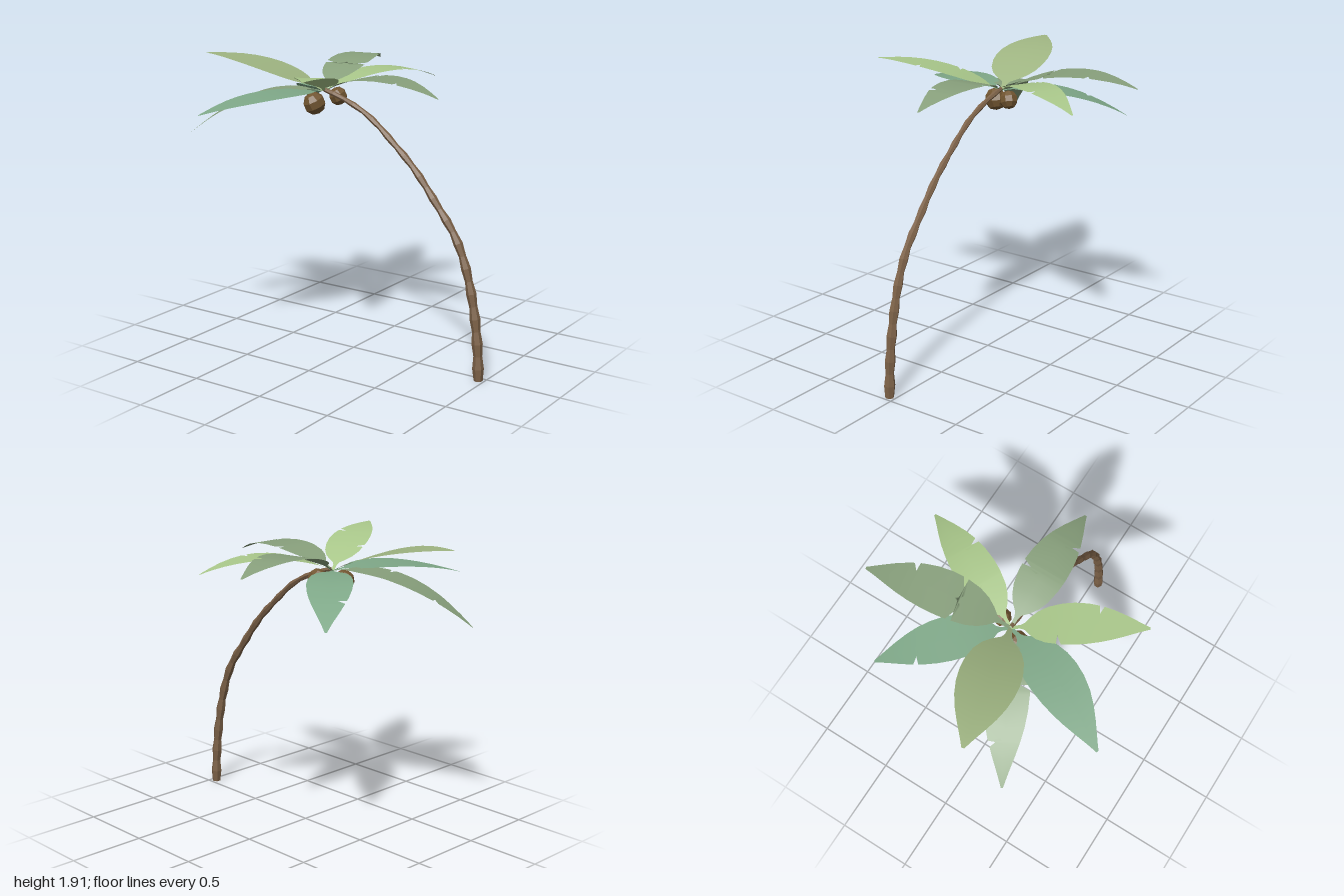
import * as THREE from 'three';

const CROWN = new THREE.Vector3(-0.2, 1.7, 0.04);

// Half-width of a frond (fraction of its widest) along its length.
const OUTLINE = [[0, 0.07], [0.07, 0.09], [0.1, 0.16], [0.14, 0.42], [0.19, 0.66], [0.26, 0.85], [0.36, 0.97],
  [0.45, 1], [0.55, 0.96], [0.65, 0.85], [0.74, 0.69], [0.83, 0.48], [0.91, 0.27], [0.97, 0.12], [1, 0.05]];

function widthAt(t) {
  let i = 1;
  while (i < OUTLINE.length - 1 && OUTLINE[i][0] < t) i++;
  const [a, wa] = OUTLINE[i - 1], [b, wb] = OUTLINE[i];
  return wa + (wb - wa) * (t - a) / (b - a);
}

// tip: end point, arch: rise at mid length, half: half width, bend: sideways curve,
// cuts: [position, side] of the wedge-shaped tears
const FRONDS = [
  { name: 'frondBack', tip: [-0.37, 1.8, -0.86], arch: 0.11, half: 0.145, bend: 0.005, color: 0x88a07c, cuts: [[0.36, -1], [0.36, 1], [0.68, 1]] },
  { name: 'frondBackLeft', tip: [0.16, 1.73, -0.73], arch: 0.1, half: 0.125, bend: 0, color: 0xa9c78a, cuts: [[0.35, -1], [0.63, 1]] },
  { name: 'frondBackRight', tip: [-0.755, 1.51, -0.57], arch: 0.08, half: 0.14, bend: 0, color: 0x7fa888, cuts: [[0.7, -1]] },
  { name: 'frondLeft', tip: [0.64, 1.73, 0.04], arch: 0.105, half: 0.138, bend: 0, color: 0x88a07c, cuts: [[0.42, -1], [0.7, 1]] },
  { name: 'frondFrontLeft', tip: [0.165, 1.885, 0.755], arch: 0.05, half: 0.13, bend: -0.01, color: 0xa9c78a, cuts: [[0.35, 1], [0.64, -1]] },
  { name: 'frondFront', tip: [-0.55, 1.63, 0.85], arch: 0.05, half: 0.155, bend: -0.035, color: 0x7fa888, cuts: [] },
  { name: 'frondRight', tip: [-1, 1.905, 0.24], arch: 0.055, half: 0.18, bend: 0, color: 0x9fb582, cuts: [] },
  { name: 'frondFrontRight', tip: [-0.975, 1.4, 0.47], arch: 0.12, half: 0.135, bend: 0, color: 0x88a07c, cuts: [[0.4, -1], [0.75, 1]] },
];

function makeFrond({ name, tip, arch, half, bend, color, cuts }) {
  const end = new THREE.Vector3(...tip);
  const along = end.clone().sub(CROWN).setY(0).normalize();
  const across = new THREE.Vector3(-along.z, 0, along.x);
  const point = (t, u) => {
    const p = CROWN.clone().lerp(end, t);
    p.y += 4 * arch * t * (1 - t);
    return p.addScaledVector(across, u + bend * Math.sin(Math.PI * t));
  };

  // stations along the midrib, with extra ones at each tear
  const ts = OUTLINE.map(([t]) => t).filter(t => cuts.every(([c]) => Math.abs(t - c) > 0.024));
  for (const [c] of cuts) ts.push(c - 0.012, c, c + 0.024);
  const rows = [...new Set(ts)].sort((a, b) => a - b);

  const positions = [], index = [];
  const edge = (t, side) => {
    const torn = cuts.some(([c, s]) => c === t && s === side);
    const w = widthAt(t) * half * side;
    return torn ? point(t - 0.03, w * 0.25) : point(t, w);
  };
  rows.forEach((t, i) => {
    for (const p of [edge(t, -1), point(t, 0), edge(t, 1)]) positions.push(p.x, p.y, p.z);
    if (!i) return;
    for (const k of [0, 1]) {
      const a = (i - 1) * 3 + k, b = a + 1, c = a + 3, d = a + 4;
      // diagonals mirror about the midrib
      if (k) index.push(a, b, c, b, d, c);
      else index.push(a, b, d, a, d, c);
    }
  });
  const geo = new THREE.BufferGeometry();
  geo.setAttribute('position', new THREE.Float32BufferAttribute(positions, 3));
  geo.setIndex(index);
  geo.computeVertexNormals();
  const mesh = new THREE.Mesh(geo, new THREE.MeshStandardMaterial({ color, side: THREE.DoubleSide }));
  mesh.name = name;
  return mesh;
}

// Leaning trunk: a six-sided tube that swells once per growth ring.
function makeTrunk() {
  const path = new THREE.CatmullRomCurve3([[0.962, 0], [0.952, 0.2], [0.917, 0.465], [0.85, 0.73], [0.775, 0.9],
    [0.65, 1.07], [0.48, 1.28], [0.33, 1.42], [0.14, 1.575], [-0.05, 1.665], [-0.2, 1.71]]
    .map(([x, y]) => new THREE.Vector3(x, y, 0.04)));
  const rings = 28, sides = 6;
  const geo = new THREE.TubeGeometry(path, rings, 1, sides);
  const pos = geo.attributes.position, v = new THREE.Vector3();
  for (let i = 0; i <= rings; i++) {
    const t = i / rings, centre = path.getPointAt(t);
    const radius = (0.033 - 0.018 * t) * (i % 2 ? 1.12 : 0.86);
    for (let j = 0; j <= sides; j++) {
      const k = i * (sides + 1) + j;
      v.fromBufferAttribute(pos, k).sub(centre).multiplyScalar(radius).add(centre);
      if (i === 0) v.y = 0;
      pos.setXYZ(k, v.x, v.y, v.z);
    }
  }
  const bark = new THREE.MeshStandardMaterial({ color: 0x7d6248, flatShading: true });
  const trunk = new THREE.Group();
  trunk.name = 'trunk';
  const stem = new THREE.Mesh(geo, bark);
  stem.name = 'stem';
  const foot = new THREE.Mesh(new THREE.CircleGeometry(0.028, sides), bark);
  foot.name = 'trunkFoot';
  foot.rotation.x = Math.PI / 2;
  foot.position.set(0.962, 0, 0.04);
  trunk.add(stem, foot);
  return trunk;
}

export function createModel() {
  const model = new THREE.Group();
  model.name = 'palmTree';
  model.add(makeTrunk());

  const crown = new THREE.Group();
  crown.name = 'fronds';
  FRONDS.forEach(f => crown.add(makeFrond(f)));
  model.add(crown);

  // Coconuts hanging under the crown
  const husk = new THREE.MeshStandardMaterial({ color: 0x715530, flatShading: true });
  for (const [x, y, z, r] of [[-0.23, 1.628, 0.105, 0.073], [-0.155, 1.66, -0.05, 0.06]]) {
    const nut = new THREE.Mesh(new THREE.SphereGeometry(r, 8, 5), husk);
    nut.name = 'coconut';
    nut.position.set(x, y, z);
    nut.rotation.set(0.25, 0.3, 0.3);
    model.add(nut);
  }
  return model;
}
